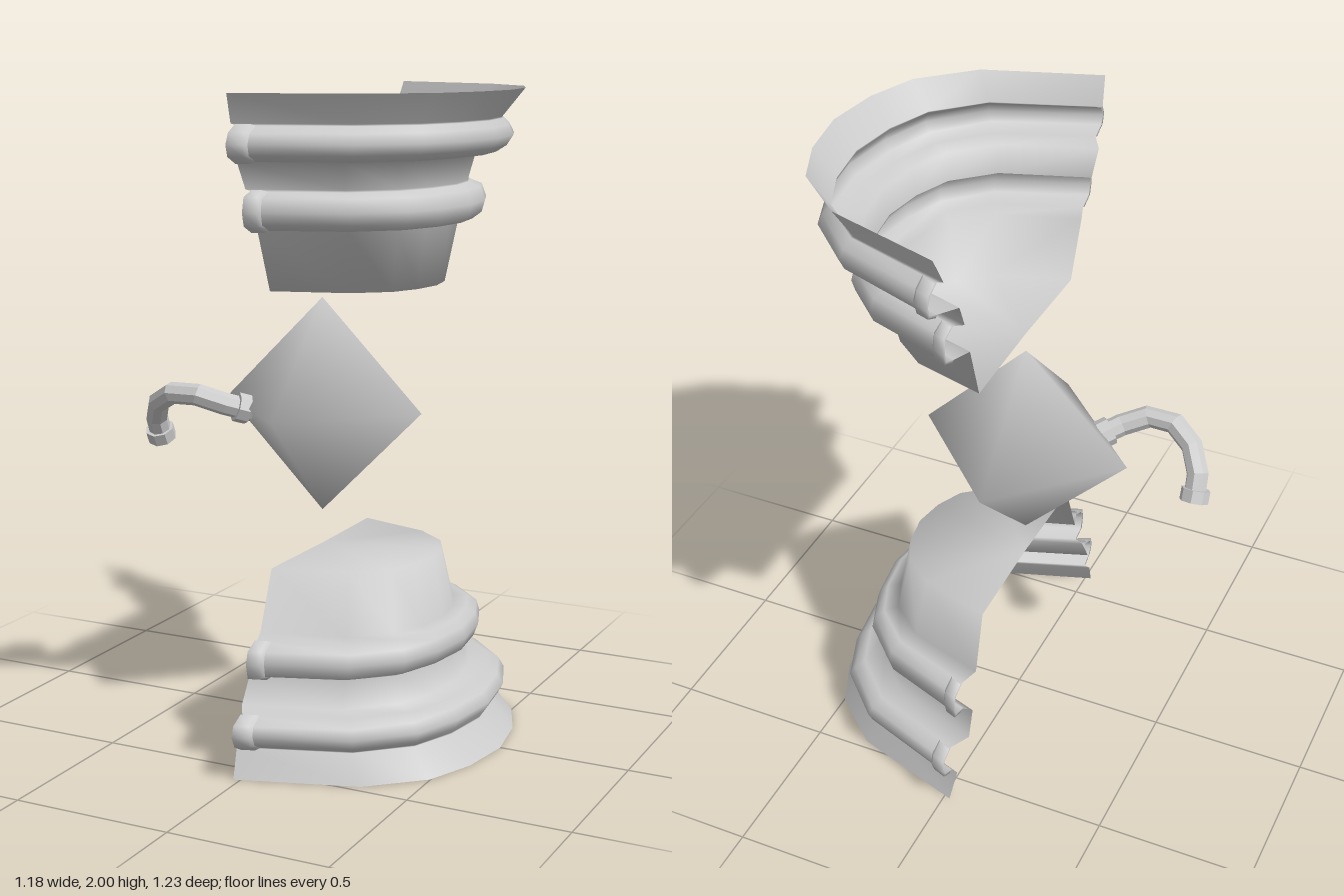
import * as THREE from 'three';
import { mergeVertices } from 'three/addons/utils/BufferGeometryUtils.js';

const grey = new THREE.MeshStandardMaterial({ color: 0xcccccc, side: THREE.DoubleSide });
const faceted = new THREE.MeshStandardMaterial({ color: 0xcccccc, flatShading: true });

function part(name, geometry, material = grey) {
  const mesh = new THREE.Mesh(geometry, material);
  mesh.name = name;
  return mesh;
}

// Half-round plan as [x, z] fractions, from the +z end round +x to the -z end
const quarter = [[0, 1], [0.59, 0.8], [0.85, 0.56], [0.955, 0.3], [1, 0]];
const plan = [...quarter, ...quarter.slice(0, 4).reverse().map(([x, z]) => [x, -z])]
  .map(([x, z]) => ({ x, z, swell: 0 }));

// Rib sections as rows of [height, x radius, z radius, x of the cut edge]
const ribs = [
  [[1.91, 0.52, 0.55, -0.01], [1.89, 0.535, 0.59, -0.01], [1.86, 0.55, 0.605, -0.01],
    [1.83, 0.53, 0.595, -0.01], [1.81, 0.5, 0.55, -0.01]],
  [[1.72, 0.42, 0.46, -0.01], [1.705, 0.455, 0.505, -0.01], [1.665, 0.47, 0.515, -0.01],
    [1.63, 0.46, 0.505, -0.01], [1.61, 0.435, 0.46, -0.01]],
];

// Full wall section, closed by a half-disc at the narrow end
const wall = [
  [2, 0.59, 0.59, -0.02], [1.915, 0.52, 0.55, -0.03], ...ribs[0],
  [1.805, 0.44, 0.49, -0.045], [1.725, 0.42, 0.45, -0.04], ...ribs[1],
  [1.605, 0.395, 0.4, -0.03], [1.42, 0.36, 0.335, -0.025], [1.42, -0.02, 0, -0.02],
];

// Skin over rows (heights) and columns (plan points); flip mirrors it to the base
function loft(rows, columns, flip) {
  const middle = (rows[0][0] + rows[rows.length - 1][0]) / 2;
  const ordered = flip ? [...rows].reverse() : rows;
  const positions = [], index = [], n = columns.length;
  ordered.forEach(([y, rx, rz, edge], i) => {
    columns.forEach(({ x, z, swell }, j) => {
      const h = middle + (y - middle) * (1 + 0.1 * swell);
      positions.push(edge + x * (rx - edge), flip ? 2 - h : h, z * (rz + 0.012 * swell));
      if (i && j) {
        const d = i * n + j, c = d - n;
        index.push(c - 1, d - 1, d, c - 1, d, c);
      }
    });
  });
  const geometry = new THREE.BufferGeometry();
  geometry.setAttribute('position', new THREE.Float32BufferAttribute(positions, 3));
  geometry.setIndex(index);
  geometry.computeVertexNormals();
  return geometry;
}

// Swollen lip wrapped round the end of a rib
function lipColumns(side) {
  const columns = [[0, 0], [0.002, 1], [0.13, 1], [0.16, 0]].map(([t, swell]) => ({
    x: t * quarter[1][0],
    z: side * (1 + t * (quarter[1][1] - 1)),
    swell,
  }));
  return side > 0 ? columns : columns.reverse();
}

function makeShell(name, flip) {
  const shell = new THREE.Group();
  shell.name = name;
  shell.add(part('ribbedWall', loft(wall, plan, flip)));
  for (const rib of ribs) {
    for (const side of [1, -1]) shell.add(part('ribEndLip', loft(rib, lipColumns(side), flip)));
  }
  return shell;
}

// Smooth-shaded eight-sided core
function makeCore() {
  const geometry = new THREE.OctahedronGeometry(0.337);
  geometry.deleteAttribute('uv');
  geometry.deleteAttribute('normal');
  const smooth = mergeVertices(geometry);
  smooth.computeVertexNormals();
  const core = part('core', smooth);
  core.position.set(-0.022, 1.024, 0);
  return core;
}

// Curved pipe with a collar at each end
function makePipe() {
  const pipe = new THREE.Group();
  pipe.name = 'pipe';
  const path = new THREE.CatmullRomCurve3([
    [-0.205, 1.01, 0.125], [-0.29, 1.045, 0.2], [-0.385, 1.073, 0.23],
    [-0.485, 1.035, 0.2], [-0.54, 0.965, 0.14], [-0.548, 0.885, 0.095],
  ].map((p) => new THREE.Vector3(...p)));
  pipe.add(part('bentTube', new THREE.TubeGeometry(path, 6, 0.035, 8), faceted));
  for (const t of [0.06, 0.96]) {
    const collar = part('collar', new THREE.CylinderGeometry(0.046, 0.046, 0.04, 8), faceted);
    collar.position.copy(path.getPointAt(t));
    collar.quaternion.setFromUnitVectors(new THREE.Vector3(0, 1, 0), path.getTangentAt(t));
    pipe.add(collar);
  }
  return pipe;
}

export function createModel() {
  const model = new THREE.Group();
  model.name = 'model';
  model.add(makeShell('upperShell', false), makeShell('lowerShell', true), makeCore(), makePipe());
  return model;
}
